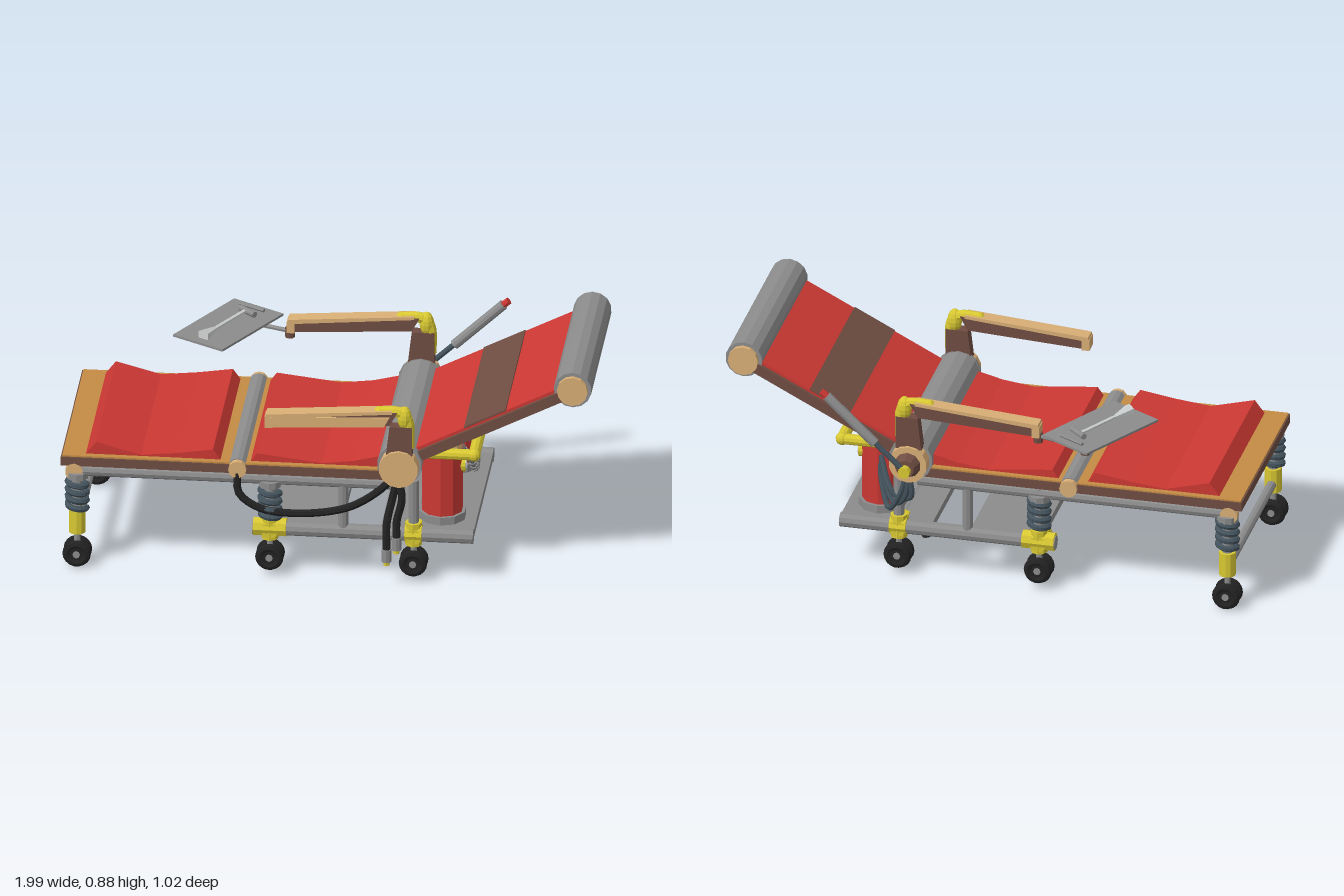
import * as THREE from 'three';

const paint = (name, color) => {
  const m = new THREE.MeshStandardMaterial({ color, flatShading: true });
  m.name = name;
  return m;
};

export function createModel() {
  const red = paint('red', 0xcc3833), yellow = paint('yellow', 0xd8c832), tan = paint('tan', 0xd9ae75);
  const gold = paint('gold wood', 0xc48c44), brown = paint('brown', 0x6f4d42), grey = paint('grey', 0x8c8c8c);
  const slate = paint('slate', 0x43525c), black = paint('black', 0x222222), pale = paint('pale', 0xd0d3d3);

  const model = new THREE.Group();
  model.name = 'recliningBed';
  const bed = new THREE.Group(); // symmetric about its own z = 0
  bed.name = 'bed';
  bed.position.z = 0.06;
  model.add(bed);

  const add = (name, geo, mat, x = 0, y = 0, z = 0, parent = bed) => {
    const m = new THREE.Mesh(geo, mat);
    m.name = name;
    m.position.set(x, y, z);
    parent.add(m);
    return m;
  };
  const box = (name, mat, w, h, d, x, y, z, parent) => add(name, new THREE.BoxGeometry(w, h, d), mat, x, y, z, parent);
  const V = (p) => new THREE.Vector3(...p);
  // cylinder between two points
  const rod = (name, mat, a, b, r, sides = 10, r2 = r, parent = bed) => {
    const A = V(a), B = V(b), d = B.clone().sub(A);
    const m = add(name, new THREE.CylinderGeometry(r2, r, d.length(), sides), mat, 0, 0, 0, parent);
    m.position.copy(A).add(B).multiplyScalar(0.5);
    m.quaternion.setFromUnitVectors(new THREE.Vector3(0, 1, 0), d.normalize());
    return m;
  };
  const hose = (name, mat, pts, r = 0.015) =>
    add(name, new THREE.TubeGeometry(new THREE.CatmullRomCurve3(pts.map(V)), 28, r, 7), mat);
  const extrude = (name, mat, pts, depth, z, parent) => {
    const s = new THREE.Shape(pts.map((p) => new THREE.Vector2(...p)));
    return add(name, new THREE.ExtrudeGeometry(s, { depth, bevelEnabled: false }), mat, 0, 0, z - depth / 2, parent);
  };

  // Bed board with wooden top
  box('bedBoard', brown, 1.27, 0.035, 0.765, -0.365, 0.432, 0);
  box('bedTop', gold, 1.26, 0.006, 0.755, -0.365, 0.4525, 0);

  // Dished cushions
  extrude('legCushion', red, [[-0.91, 0.453], [-0.4, 0.453], [-0.43, 0.495], [-0.56, 0.475], [-0.7, 0.46], [-0.87, 0.505]], 0.71, 0);
  extrude('seatCushion', red, [[-0.29, 0.453], [0.22, 0.453], [0.22, 0.505], [0.1, 0.475], [-0.02, 0.46], [-0.265, 0.488]], 0.71, 0);

  // Hinge rollers with round end caps
  rod('kneeRoller', grey, [-0.335, 0.437, -0.375], [-0.335, 0.437, 0.375], 0.036, 12);
  rod('hipRoller', grey, [0.275, 0.48, -0.375], [0.275, 0.48, 0.375], 0.083, 14);
  for (const s of [-1, 1]) {
    rod('kneeCap', tan, [-0.335, 0.435, s * 0.37], [-0.335, 0.435, s * 0.398], 0.034, 12);
    rod('hipCapRim', grey, [0.275, 0.48, s * 0.37], [0.275, 0.48, s * 0.385], 0.085, 14);
    rod('hipCap', tan, [0.275, 0.48, s * 0.375], [0.275, 0.48, s * 0.43], 0.074, 14);
    rod('footCap', tan, [-0.95, 0.39, s * 0.35], [-0.95, 0.39, s * 0.385], 0.034, 10);
  }

  // Tilted backrest with head roller
  const back = new THREE.Group();
  back.name = 'backrest';
  back.position.set(0.275, 0.48, 0);
  back.rotation.z = 0.471;
  bed.add(back);
  box('backCushion', red, 0.61, 0.04, 0.7, 0.37, 0.005, 0, back);
  box('backStripe', brown, 0.175, 0.006, 0.702, 0.37, 0.026, 0, back);
  for (const s of [-1, 1]) box('backRail', brown, 0.63, 0.04, 0.014, 0.37, -0.006, s * 0.357, back);
  rod('headRoller', grey, [0.727, 0, -0.358], [0.727, 0, 0.358], 0.071, 14, 0.071, back);
  for (const s of [-1, 1]) rod('headCap', tan, [0.727, 0, s * 0.355], [0.727, 0, s * 0.375], 0.058, 12, 0.058, back);

  // Tubular underframe and lower chassis
  for (const s of [-1, 1]) {
    const z = s * 0.36;
    rod('upperRail', grey, [-0.95, 0.392, z], [0.25, 0.392, z], 0.024);
    rod('lowerRail', grey, [-0.28, 0.187, z], [0.55, 0.187, z], 0.028);
    rod('middlePost', grey, [0.06, 0.19, z], [0.06, 0.4, z], 0.02);
  }
  for (const x of [-0.95, -0.335]) rod('upperCrossTube', grey, [x, 0.392, -0.36], [x, 0.392, 0.36], 0.024);
  rod('footCrossTube', grey, [-0.94, 0.17, -0.36], [-0.94, 0.17, 0.36], 0.018);
  rod('lowerCrossTube', grey, [0.325, 0.18, -0.36], [0.325, 0.18, 0.36], 0.028);
  box('rearPlatform', grey, 0.35, 0.03, 0.7, 0.375, 0.19, 0);
  box('middlePlatform', grey, 0.27, 0.03, 0.7, -0.085, 0.19, 0);

  // Legs: twin wheels, fork, yellow joint, post and spring
  class Helix extends THREE.Curve {
    constructor(h, turns) { super(); this.h = h; this.turns = turns; }
    getPoint(t, out = new THREE.Vector3()) {
      const a = t * this.turns * Math.PI * 2;
      return out.set(0.036 * Math.cos(a), t * this.h, 0.036 * Math.sin(a));
    }
  }
  const leg = (x, z, wheelY, spring) => {
    const g = new THREE.Group();
    g.name = 'leg';
    g.position.set(x, 0, z);
    bed.add(g);
    for (const s of [-1, 1]) {
      add('tyre', new THREE.TorusGeometry(0.037, 0.0165, 8, 18), black, 0, wheelY, s * 0.025, g);
      rod('wheelDisc', black, [0, wheelY, s * 0.025 - 0.01], [0, wheelY, s * 0.025 + 0.01], 0.034, 12, 0.034, g);
      rod('hub', grey, [0, wheelY, s * 0.02], [0, wheelY, s * 0.039], 0.014, 8, 0.014, g);
    }
    rod('fork', grey, [0, wheelY, 0], [0, 0.17, 0], 0.012, 8, 0.012, g);
    rod('post', grey, [0, 0.15, 0], [0, 0.41, 0], 0.02, 10, 0.02, g);
    if (spring) {
      const y0 = 0.235;
      add('spring', new THREE.TubeGeometry(new Helix(0.125, 4), 64, 0.012, 6), slate, 0, y0, 0, g);
      rod('springSeat', grey, [0, 0.36, 0], [0, 0.385, 0], 0.042, 10, 0.042, g);
    }
    return g;
  };
  for (const s of [-1, 1]) {
    const z = s * 0.36;
    rod('footSleeve', yellow, [0, 0.135, 0], [0, 0.23, 0], 0.032, 10, 0.032, leg(-0.94, z, 0.054, true));
    for (const [x, spring] of [[-0.215, true], [0.325, false]]) {
      const g = leg(x, z, 0.076, spring), w = spring ? 0.062 : 0.032;
      rod('jointSleeve', yellow, [0, 0.145, 0], [0, 0.237, 0], 0.032, 8, 0.032, g);
      rod('railSleeve', yellow, [-w, 0.19, 0], [w, 0.19, 0], 0.036, 8, 0.036, g);
      rod('crossSleeve', yellow, [0, 0.185, 0.03 * s], [0, 0.185, -0.08 * s], 0.033, 8, 0.033, g);
    }
  }

  // Red tanks with domed tops and valves
  for (const s of [-1, 1]) {
    const z = s * 0.228;
    rod('tankFlange', grey, [0.42, 0.2, z], [0.42, 0.236, z], 0.09, 10);
    rod('tank', red, [0.42, 0.236, z], [0.42, 0.49, z], 0.078, 10);
    add('tankDome', new THREE.SphereGeometry(0.076, 10, 5, 0, Math.PI * 2, 0, Math.PI / 2), tan, 0.42, 0.488, z);
    rod('valveRing', yellow, [0.485, 0.425, z], [0.508, 0.425, z], 0.03, 12);
    rod('valveFace', pale, [0.505, 0.425, z], [0.512, 0.425, z], 0.02, 12);
  }

  // Push handle
  rod('handleBar', yellow, [0.55, 0.512, -0.335], [0.55, 0.512, 0.335], 0.022);
  for (const s of [-1, 1]) {
    rod('handleArm', yellow, [0.3, 0.512, s * 0.335], [0.55, 0.512, s * 0.335], 0.021);
    add('handleCorner', new THREE.SphereGeometry(0.025, 10, 8), yellow, 0.55, 0.512, s * 0.335);
  }

  // Armrests
  for (const s of [-1, 1]) {
    const g = new THREE.Group();
    g.name = 'armrest';
    g.position.set(0, s > 0 ? -0.01 : 0.01, s * 0.395);
    bed.add(g);
    extrude('armBody', brown, [[-0.22, 0.64], [0.24, 0.665], [0.27, 0.72], [-0.2, 0.682]], 0.046, 0, g);
    extrude('armPad', tan, [[-0.23, 0.674], [0.25, 0.715], [0.25, 0.727], [-0.225, 0.692]], 0.056, 0, g);
    box('armTip', tan, 0.03, 0.045, 0.056, -0.215, 0.66, 0, g);
    extrude('armPost', brown, [[0.225, 0.53], [0.325, 0.53], [0.325, 0.66], [0.24, 0.66]], 0.046, 0, g);
    if (s > 0) extrude('armSide', tan, [[-0.22, 0.64], [0.22, 0.662], [0.24, 0.7], [-0.21, 0.682]], 0.006, 0.026, g);
    const elbow = new THREE.CatmullRomCurve3([[0.2, 0.712, 0], [0.28, 0.712, 0], [0.305, 0.685, 0], [0.31, 0.57, 0]].map(V));
    add('elbow', new THREE.TubeGeometry(elbow, 12, 0.022, 8), yellow, 0, 0, 0, g);
    const knob = add('elbowCap', new THREE.SphereGeometry(0.028, 10, 8), yellow, 0.295, 0.69, 0, g);
    knob.scale.y = 1.7;
    add('elbowEnd', new THREE.SphereGeometry(0.022, 8, 6), yellow, 0.2, 0.712, 0, g);
  }

  // Swivel tray with tools
  const tray = new THREE.Group();
  tray.name = 'tray';
  tray.position.set(-0.447, 0.68, -0.346);
  tray.rotation.y = -0.52;
  bed.add(tray);
  box('trayPlate', grey, 0.227, 0.009, 0.39, 0, 0, 0, tray);
  rod('toolShaft', pale, [0.0, 0.018, -0.11], [0.0, 0.018, 0.09], 0.008, 6, 0.008, tray);
  rod('toolHead', pale, [0, 0.018, 0.08], [0, 0.018, 0.16], 0.008, 6, 0.025, tray);
  rod('toolHandle', grey, [-0.03, 0.018, -0.12], [0.05, 0.018, -0.1], 0.012, 8, 0.012, tray);
  rod('smallTool', grey, [-0.06, 0.012, -0.16], [0.05, 0.012, -0.16], 0.007, 6, 0.007, tray);
  rod('trayLink', grey, [-0.21, 0.645, -0.39], [-0.42, 0.648, -0.46], 0.009, 6);
  rod('trayPivot', brown, [-0.42, 0.63, -0.47], [-0.42, 0.677, -0.47], 0.02, 8);
  rod('armPivot', brown, [-0.22, 0.62, -0.395], [-0.22, 0.66, -0.395], 0.018, 8);

  // Reclining lever
  rod('leverHub', brown, [0.275, 0.48, -0.42], [0.275, 0.48, -0.468], 0.055, 10, 0.035);
  rod('leverBoss', yellow, [0.275, 0.475, -0.46], [0.275, 0.475, -0.492], 0.023, 10);
  rod('leverRod', slate, [0.275, 0.475, -0.475], [0.42, 0.61, -0.475], 0.011, 8);
  rod('leverGrip', grey, [0.39, 0.58, -0.475], [0.575, 0.755, -0.475], 0.019, 10);
  rod('leverButton', red, [0.575, 0.755, -0.475], [0.595, 0.772, -0.475], 0.014, 8);

  // Black side hoses with connectors
  hose('sideHose', black, [[-0.335, 0.42, 0.385], [-0.33, 0.34, 0.39], [-0.25, 0.28, 0.39], [-0.1, 0.265, 0.39], [0.08, 0.3, 0.395], [0.19, 0.37, 0.4], [0.26, 0.44, 0.395]]);
  for (const [x, z, y] of [[0.23, 0.427, 0.15], [0.265, 0.405, 0.19]]) {
    hose('hangingHose', black, [[0.27, 0.44, 0.4], [x + 0.02, 0.35, 0.405], [x, 0.25, z - 0.005], [x, y, z]]);
    rod('hoseConnector', grey, [x, y, z], [x, y - 0.05, z], 0.019, 8);
    rod('hoseTip', yellow, [x, y - 0.05, z], [x, y - 0.065, z], 0.012, 8);
  }

  // Ringed rear hose between the tanks
  const loop = [[0.46, 0.49, 0.165], [0.51, 0.4, 0.11], [0.52, 0.32, 0.04], [0.52, 0.3, -0.03], [0.51, 0.35, -0.1], [0.46, 0.49, -0.165]];
  hose('ringedHose', slate, loop, 0.01);
  const path = new THREE.CatmullRomCurve3(loop.map(V));
  for (let i = 0; i < 18; i++) {
    rod('hoseRing', grey, path.getPointAt((i + 0.2) / 18).toArray(), path.getPointAt((i + 0.8) / 18).toArray(), 0.014, 8);
  }

  // Slate hoses behind the tanks and down the lever side
  for (let i = 0; i < 3; i++) {
    const d = i * 0.022;
    hose('crossHose', slate, [[0.4, 0.49, 0.17], [0.42, 0.42 - d, 0.11], [0.43, 0.37 - d, 0], [0.42, 0.4 - d, -0.1], [0.4, 0.49, -0.17]], 0.011);
    hose('leverHose', slate, [[0.42, 0.46, -0.28], [0.4 - d, 0.34, -0.32 - d], [0.36 - d, 0.265 + d, -0.375], [0.31 - d, 0.34, -0.405], [0.28, 0.45, -0.41]], 0.011);
  }
  rod('dropConnector', black, [0.24, 0.19, -0.31], [0.23, 0.13, -0.31], 0.018, 8);
  return model;
}
